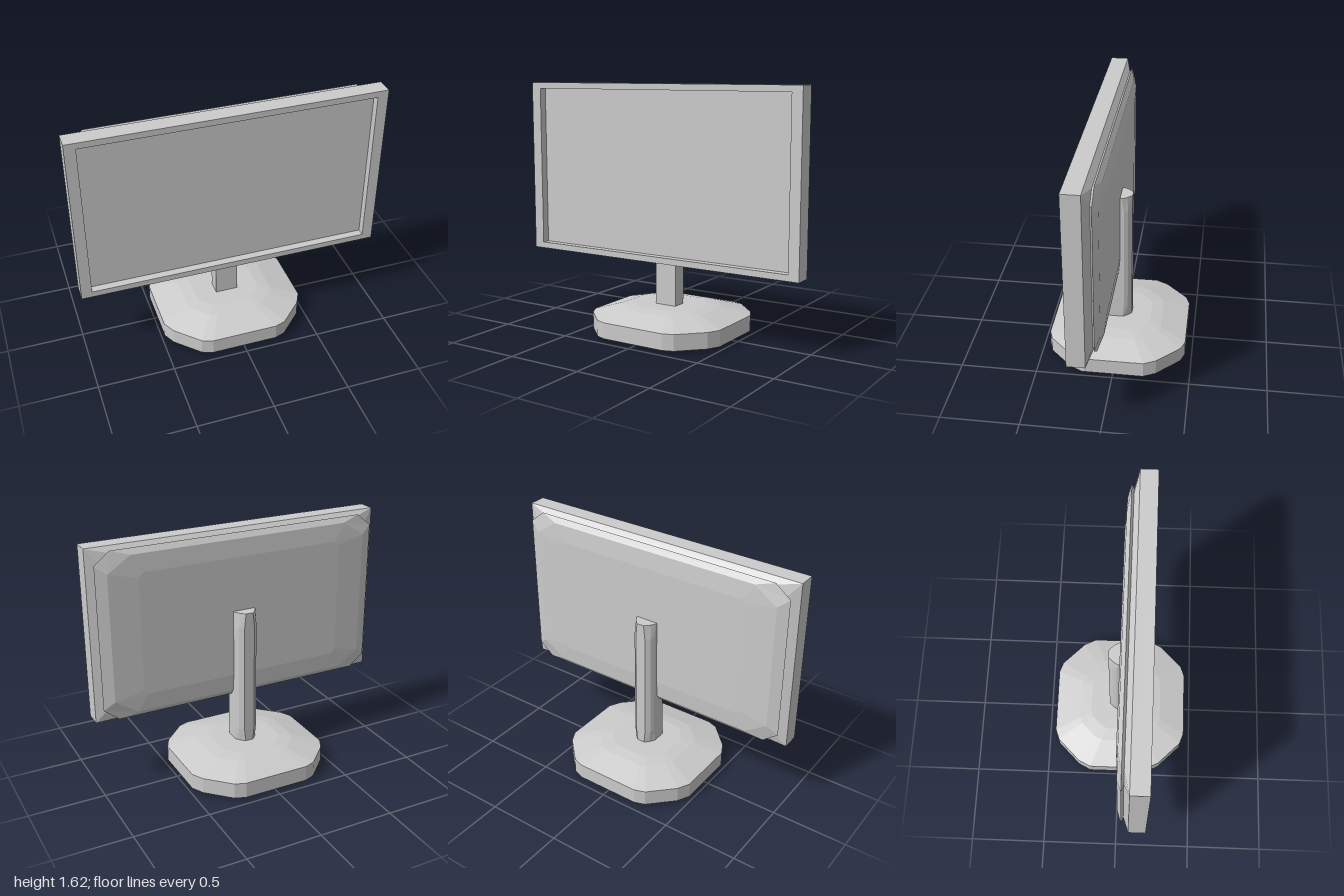
import * as THREE from 'three';

const mat = new THREE.MeshStandardMaterial({ color: 0xcccccc, flatShading: true });

// Joins rings of counter-clockwise [x, depth] points, stacked upwards, and caps both ends
function loft(rings) {
  const pos = [], index = [], n = rings[0].points.length;
  for (const { y, points } of rings) for (const [x, d] of points) pos.push(x, y, -d);
  for (let r = 0; r < rings.length - 1; r++) {
    for (let i = 0; i < n; i++) {
      const a = r * n + i, b = r * n + (i + 1) % n;
      index.push(a, b, b + n, a, b + n, a + n);
    }
  }
  const top = (rings.length - 1) * n;
  for (let i = 1; i < n - 1; i++) {
    index.push(0, i + 1, i);
    index.push(top, top + i, top + i + 1);
  }
  const g = new THREE.BufferGeometry();
  g.setAttribute('position', new THREE.Float32BufferAttribute(pos, 3));
  g.setIndex(index);
  const flat = g.toNonIndexed();
  flat.computeVertexNormals();
  return flat;
}

// Mirrors one quadrant of points (running from +x towards +depth) into a closed ring
function mirrorRing(quad) {
  const back = [...quad].reverse();
  return [
    ...quad,
    ...back.map(([x, d]) => [-x, d]),
    ...quad.map(([x, d]) => [-x, -d]),
    ...back.map(([x, d]) => [x, -d]),
  ];
}

// Rectangle with cut corners
const cutRect = (hx, hy, cx, cy) => mirrorRing([[hx, hy - cy], [hx - cx, hy]]);

function rectPath(path, hx, hy) {
  path.moveTo(-hx, -hy);
  path.lineTo(hx, -hy);
  path.lineTo(hx, hy);
  path.lineTo(-hx, hy);
  path.closePath();
  return path;
}

export function createModel() {
  const model = new THREE.Group();
  const add = (name, geometry) => {
    const mesh = new THREE.Mesh(geometry, mat);
    mesh.name = name;
    model.add(mesh);
    return mesh;
  };
  const midY = 1.0525;

  // Bezel around the recessed screen
  const bezel = rectPath(new THREE.Shape(), 1, 0.5675);
  bezel.holes.push(rectPath(new THREE.Path(), 0.93, 0.5275));
  add('bezel', new THREE.ExtrudeGeometry(bezel, { depth: 0.113, bevelEnabled: false }))
    .position.set(0, midY, 0.083);

  add('screen', new THREE.BoxGeometry(1.86, 1.055, 0.06)).position.set(0, midY, 0.115);

  // Back cover: tapers in from the bezel, then a groove, then a bevelled shell
  const cover = [
    [0.083, 1, 0.5675, 0, 0],
    [0.05, 0.92, 0.53, 0.07, 0.06],
    [0.035, 0.96, 0.55, 0.1, 0.08],
    [0.01, 0.89, 0.515, 0.15, 0.1],
    [0, 0.7, 0.4, 0.03, 0.03],
  ].map(([z, ...r]) => ({ y: -z, points: cutRect(...r) }));
  add('backCover', loft(cover).rotateX(-Math.PI / 2)).position.y = midY;

  // Neck: square in front, rounded behind, pinched at both ends
  const neckRing = (y, side, cx, cd, bx) => {
    const half = [[0.075, -0.075], [0.075, side], [cx, cd], [bx, 0.075]];
    return { y, points: [...half, ...[...half].reverse().map(([x, d]) => [-x, d])] };
  };
  add('neck', loft([
    neckRing(0.16, 0.015, 0.055, 0.045, 0.025),
    neckRing(0.27, 0.025, 0.063, 0.05, 0.035),
    neckRing(1.0, 0.025, 0.063, 0.05, 0.035),
    neckRing(1.097, 0.01, 0.055, 0.045, 0.025),
  ]));

  // Base: softened octagon with a low domed top
  const outline = [[0.48, 0.2], [0.44, 0.28], [0.29, 0.43], [0.22, 0.455]];
  const base = [
    [0, 0.93], [0.015, 1], [0.12, 1], [0.172, 0.62], [0.184, 0.45],
  ].map(([y, s]) => ({ y, points: mirrorRing(outline.map(([x, d]) => [x * s, d * s])) }));
  add('base', loft(base));

  return model;
}
